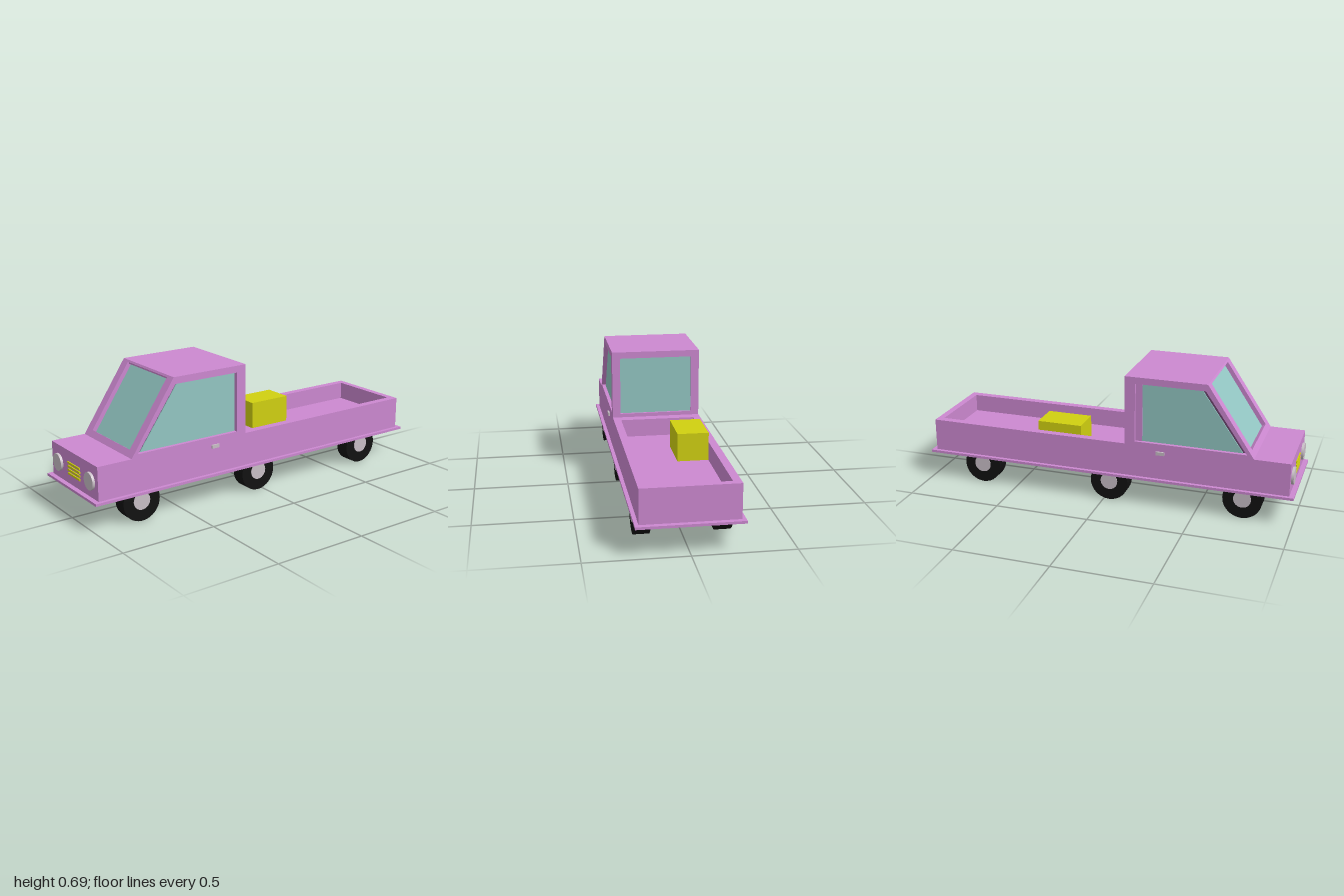
import * as THREE from 'three';

const mat = (color) => new THREE.MeshStandardMaterial({ color });

export function createModel() {
  const model = new THREE.Group();
  const paint = mat(0xcc88d0), dark = mat(0x68446c), glass = mat(0x92c6c2);
  const yellow = mat(0xd0d010), tyre = mat(0x111111), metal = mat(0xc8bec6);

  function add(name, geometry, material, x = 0, y = 0, z = 0, parent = model) {
    const mesh = new THREE.Mesh(geometry, material);
    mesh.name = name;
    mesh.position.set(x, y, z);
    parent.add(mesh);
    return mesh;
  }
  // Box given by its low and high corners
  function box(name, material, [x0, y0, z0], [x1, y1, z1]) {
    return add(name, new THREE.BoxGeometry(x1 - x0, y1 - y0, z1 - z0), material,
      (x0 + x1) / 2, (y0 + y1) / 2, (z0 + z1) / 2);
  }
  const points = (list) => list.map(([a, b]) => new THREE.Vector2(a, b));
  const rect = (x0, y0, x1, y1) => [[x0, y0], [x1, y0], [x1, y1], [x0, y1]];
  function plate(outline, hole, depth) {
    const shape = new THREE.Shape(points(outline));
    if (hole) shape.holes.push(new THREE.Path(points(hole)));
    return new THREE.ExtrudeGeometry(shape, { depth, bevelEnabled: false });
  }
  // Side profile in (z, y), filling x0 to x1
  function sidePlate(name, material, outline, hole, x0, x1) {
    add(name, plate(outline, hole, x1 - x0), material, x1).rotation.y = -Math.PI / 2;
  }

  // Lower body, with an open load bed at the back
  box('basePlate', paint, [-0.257, 0.143, -1], [0.257, 0.156, 1]);
  box('lowerBody', paint, [-0.238, 0.156, -0.975], [0.238, 0.235, 0.975]);
  const rim = plate(rect(-0.238, -0.975, 0.238, 0.975), rect(-0.198, -0.06, 0.198, 0.94), 0.095);
  add('bedWallsAndBonnet', rim, paint, 0, 0.33, 0).rotation.x = Math.PI / 2;
  // The plate is turned so its local y runs along +z
  rim.rotateZ(Math.PI);
  box('cargoBox', yellow, [-0.198, 0.235, -0.38], [-0.038, 0.38, -0.138]);

  // Cab side walls, panes and inner core
  const cabSide = [[0.115, 0.33], [0.79, 0.33], [0.545, 0.695], [0.115, 0.695]];
  const opening = [[0.17, 0.348], [0.755, 0.348], [0.535, 0.66], [0.17, 0.66]];
  const pane = [[0.15, 0.34], [0.736, 0.34], [0.505, 0.668], [0.15, 0.668]];
  const core = [[0.14, 0.33], [0.75, 0.33], [0.518, 0.675], [0.14, 0.675]];
  sidePlate('cabCore', dark, core, null, -0.212, 0.212);
  sidePlate('leftCabWall', paint, cabSide, opening, 0.213, 0.238);
  sidePlate('rightCabWall', paint, cabSide, opening, -0.238, -0.213);
  sidePlate('leftWindow', glass, pane, null, 0.205, 0.218);
  sidePlate('rightWindow', glass, pane, null, -0.218, -0.205);
  box('rightDoorPillar', paint, [-0.223, 0.345, 0.165], [-0.21, 0.662, 0.205]);
  box('roof', paint, [-0.213, 0.675, 0.115], [0.213, 0.695, 0.545]);

  // Sloping windscreen
  const slope = Math.hypot(0.245, 0.365);
  const windscreen = new THREE.Group();
  windscreen.name = 'windscreen';
  windscreen.position.set(0, 0.33, 0.79);
  windscreen.rotation.x = -Math.atan2(0.245, 0.365);
  model.add(windscreen);
  add('windscreenFrame', plate(rect(-0.213, 0, 0.213, slope), rect(-0.187, 0.036, 0.187, 0.428), 0.025),
    paint, 0, 0, -0.025, windscreen);
  add('windscreenGlass', new THREE.BoxGeometry(0.39, 0.4, 0.008), glass, 0, 0.232, -0.027, windscreen);

  // Rear of the cab
  add('rearFrame', plate(rect(-0.213, 0.33, 0.213, 0.675), rect(-0.195, 0.35, 0.195, 0.66), 0.025),
    paint, 0, 0, 0.115);
  box('rearWindow', glass, [-0.2, 0.345, 0.127], [0.2, 0.665, 0.138]);

  // Grille bars
  for (let i = 0; i < 4; i++) {
    const y = 0.206 + i * 0.019;
    box('grilleBar', yellow, [-0.062, y, 0.97], [0.062, y + 0.01, 0.981]);
  }

  // Mirrored lamps, handles and wheels
  for (const side of [-1, 1]) {
    add('headlight', new THREE.CylinderGeometry(0.045, 0.045, 0.02, 32), metal, side * 0.165, 0.24, 0.978)
      .rotation.x = Math.PI / 2;
    add('doorHandle', new THREE.BoxGeometry(0.02, 0.018, 0.045), metal, side * 0.237, 0.299, 0.307);
    for (const z of [0.74, 0.03, -0.7]) {
      add('tyre', new THREE.CylinderGeometry(0.102, 0.102, 0.078, 32), tyre, side * 0.197, 0.102, z)
        .rotation.z = Math.PI / 2;
      add('hub', new THREE.CylinderGeometry(0.046, 0.046, 0.02, 24), metal, side * 0.229, 0.105, z)
        .rotation.z = Math.PI / 2;
    }
  }
  return model;
}
